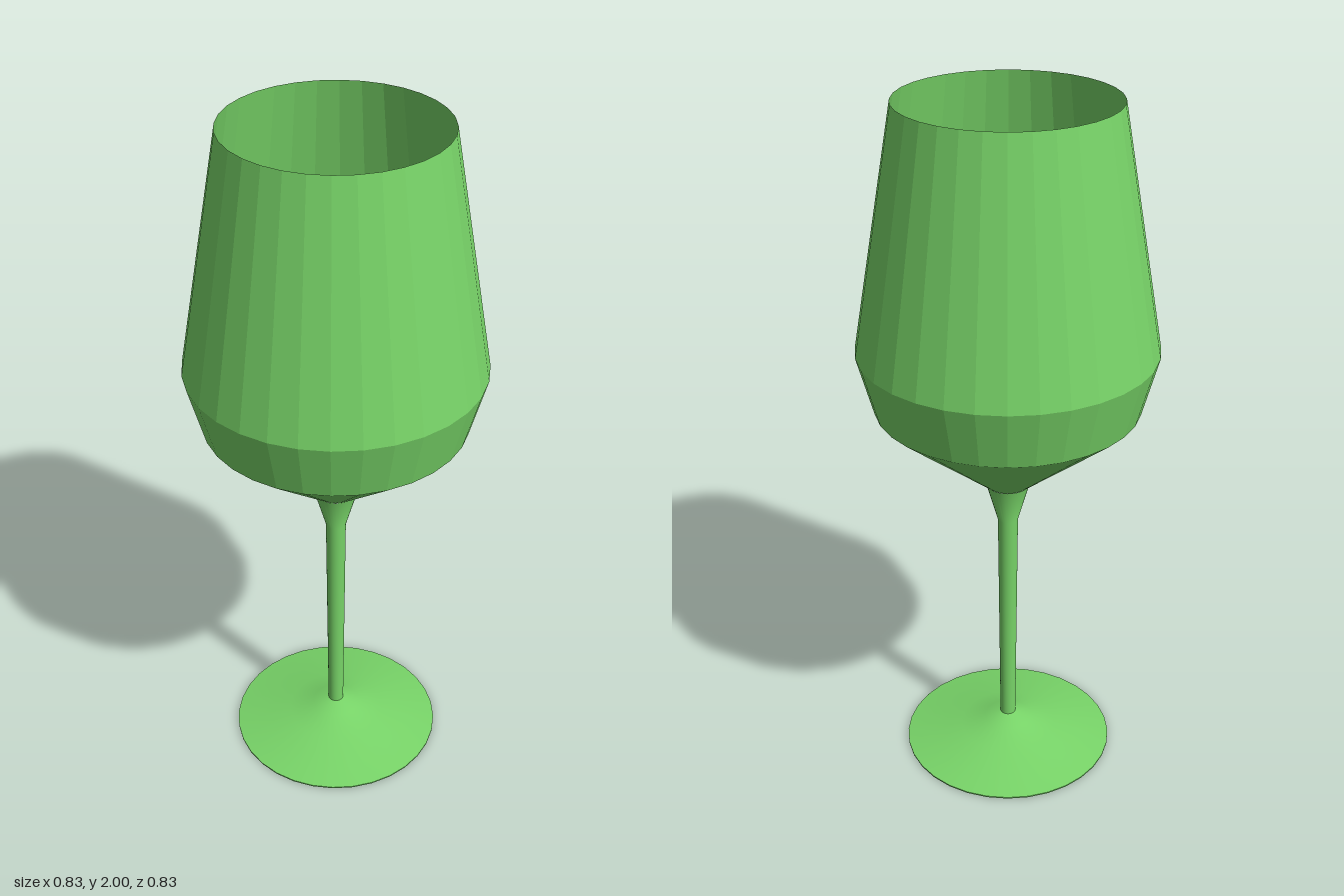
import * as THREE from 'three';

const SIDES = 32;

// Revolve a [radius, height] profile around the y axis
function revolve(name, profile, options) {
  const points = profile.map(([r, y]) => new THREE.Vector2(r, y));
  const material = new THREE.MeshStandardMaterial({ color: 0x78d468, ...options });
  const mesh = new THREE.Mesh(new THREE.LatheGeometry(points, SIDES), material);
  mesh.name = name;
  return mesh;
}

export function createModel() {
  const glass = new THREE.Group();
  glass.name = 'wineGlass';

  // Thin faceted bowl, open at the top, with a small flat floor
  glass.add(revolve('bowl', [
    [0, 0.9], [0.063, 0.9], [0.37, 1.155], [0.415, 1.325], [0.296, 2],
  ], { flatShading: true, side: THREE.DoubleSide }));

  // Slender stem, slightly wider upwards, flaring into the bowl
  glass.add(revolve('stem', [
    [0.023, 0.08], [0.029, 0.78], [0.062, 0.899],
  ]));

  // Foot: shallow concave cone with a thin edge
  glass.add(revolve('footTop', [
    [0.313, 0.004], [0.145, 0.038], [0.07, 0.064], [0.023, 0.083], [0, 0.083],
  ]));
  glass.add(revolve('footBase', [
    [0, 0], [0.313, 0], [0.313, 0.004],
  ], { flatShading: true }));

  return glass;
}
